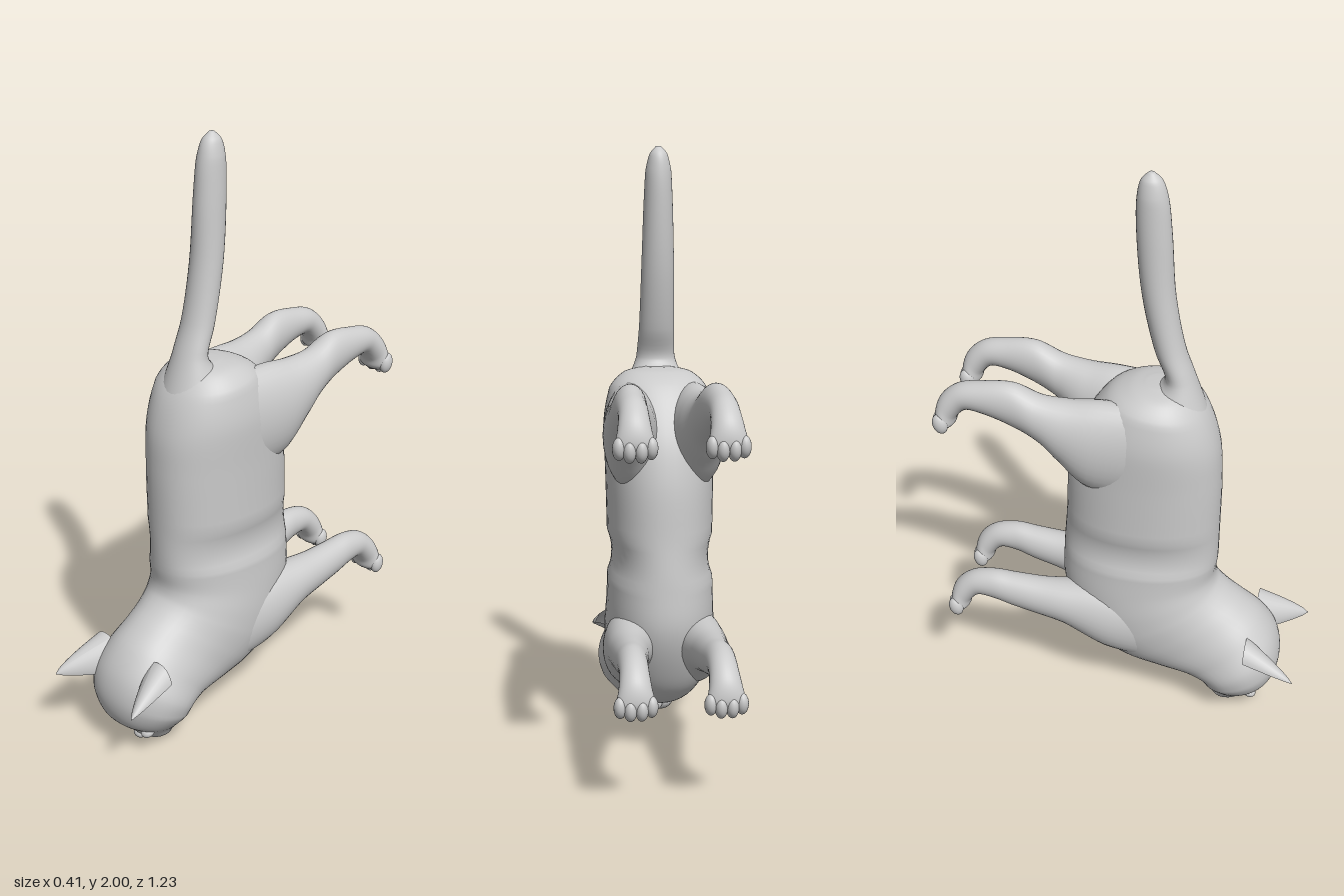
import * as THREE from 'three';

const grey = new THREE.MeshStandardMaterial({ color: 0xcccccc, side: THREE.DoubleSide });

function add(group, name, geometry) {
  const mesh = new THREE.Mesh(geometry, grey);
  mesh.name = name;
  group.add(mesh);
  return mesh;
}

// Smooth skin through cross-sections [y1, z1, y2, z2, x, halfWidth]:
// each is an oval spanning two opposite profile points in the y-z plane.
function loft(rows, steps = 6, power = 2, sides = 32) {
  const curve = (f) => new THREE.CatmullRomCurve3(rows.map(f));
  const upper = curve((r) => new THREE.Vector3(0, r[0], r[1]));
  const lower = curve((r) => new THREE.Vector3(0, r[2], r[3]));
  const width = curve((r) => new THREE.Vector3(r[4], r[5], 0));
  const n = (rows.length - 1) * steps;
  const pos = [], index = [];
  const mids = [];
  const soft = (v) => Math.sign(v) * Math.abs(v) ** (2 / power);
  // Keep the winding outward whichever way the path runs
  const [a, b] = [rows[0], rows[1]];
  const run = [(b[0] + b[2] - a[0] - a[2]), (b[1] + b[3] - a[1] - a[3])];
  const turn = -(a[1] - a[3]) * run[0] + (a[0] - a[2]) * run[1] > 0 ? 1 : -1;
  for (let i = 0; i <= n; i++) {
    const u = upper.getPoint(i / n), l = lower.getPoint(i / n), w = width.getPoint(i / n);
    const mid = u.clone().add(l).multiplyScalar(0.5);
    const half = u.clone().sub(mid);
    mids.push([w.x, mid.y, mid.z]);
    for (let j = 0; j < sides; j++) {
      const t = (j / sides) * Math.PI * 2, c = soft(Math.cos(t)) * turn, s = soft(Math.sin(t));
      pos.push(w.x + w.y * c, mid.y + half.y * s, mid.z + half.z * s);
    }
  }
  for (let i = 0; i < n; i++) {
    for (let j = 0; j < sides; j++) {
      const p = i * sides + j, q = i * sides + (j + 1) % sides;
      index.push(p, q, p + sides, q, q + sides, p + sides);
    }
  }
  // End caps
  const first = pos.length / 3, end = n * sides;
  pos.push(...mids[0], ...mids[n]);
  for (let j = 0; j < sides; j++) {
    const k = (j + 1) % sides;
    index.push(first, k, j, first + 1, end + j, end + k);
  }
  const g = new THREE.BufferGeometry();
  g.setAttribute('position', new THREE.Float32BufferAttribute(pos, 3));
  g.setIndex(index);
  g.computeVertexNormals();
  return g;
}

function ball(group, name, x, y, z, rx, ry, rz, tilt = 0) {
  const m = add(group, name, new THREE.SphereGeometry(1, 20, 14));
  m.position.set(x, y, z);
  m.scale.set(rx, ry, rz);
  m.rotation.x = tilt;
}

// Pointed ear: a cone whose front half is pressed in to form a hollow
function ear(side) {
  const g = new THREE.ConeGeometry(1, 1, 28, 10, true);
  const p = g.attributes.position;
  const base = new THREE.Vector3(0.125, 0.275, 0.44), tip = new THREE.Vector3(0.187, 0.255, 0.615);
  const across = new THREE.Vector3(0.066, 0.035, 0), back = new THREE.Vector3(-0.02, 0.08, 0);
  for (let i = 0; i < p.count; i++) {
    const t = p.getY(i) + 0.5;
    const swell = (1 - t) > 0 ? (1 - t) ** -0.25 : 0;
    const u = p.getX(i) * swell, z = p.getZ(i) * swell;
    const v = z < 0 ? -z * 0.15 : z;
    const c = base.clone().lerp(tip, t).addScaledVector(across, -side * u * side).addScaledVector(back, v);
    if (side < 0) c.x *= -1;
    p.setXYZ(i, c.x, c.y, c.z);
  }
  if (side < 0) {
    const f = g.index.array;
    for (let i = 0; i < f.length; i += 3) [f[i], f[i + 1]] = [f[i + 1], f[i]];
  }
  g.computeVertexNormals();
  return g;
}

// Rump to muzzle: back point, belly point, centre x, half width
const bodyRows = [
  [1.285, 0.14, 1.285, 0.06, 0, 0.04],
  [1.265, 0.2, 1.275, 0, 0, 0.11],
  [1.2, 0.255, 1.24, -0.07, 0, 0.16],
  [1.08, 0.298, 1.1, -0.16, 0, 0.182],
  [0.95, 0.31, 0.95, -0.2, 0, 0.178],
  [0.75, 0.31, 0.75, -0.213, 0, 0.174],
  [0.6, 0.308, 0.6, -0.225, 0, 0.174],
  [0.54, 0.303, 0.46, -0.225, 0, 0.178],
  [0.51, 0.31, 0.32, -0.175, 0, 0.182],
  [0.49, 0.325, 0.22, -0.11, 0, 0.18],
  [0.465, 0.355, 0.16, -0.02, 0, 0.172],
  [0.43, 0.405, 0.135, 0.08, 0, 0.166],
  [0.375, 0.47, 0.125, 0.2, 0, 0.172],
  [0.29, 0.525, 0.118, 0.26, 0, 0.184],
  [0.2, 0.542, 0.1, 0.275, 0, 0.172],
  [0.12, 0.522, 0.075, 0.29, 0, 0.134],
  [0.07, 0.468, 0.045, 0.3, 0, 0.098],
  [0.025, 0.425, 0.018, 0.315, 0, 0.072],
  [0.006, 0.4, 0.004, 0.345, 0, 0.035],
];

const tailRows = [
  [1.15, 0.27, 1.24, 0.03, 0, 0.12],
  [1.24, 0.24, 1.275, 0.09, 0, 0.085],
  [1.32, 0.212, 1.31, 0.117, 0, 0.064],
  [1.42, 0.178, 1.41, 0.082, 0, 0.058],
  [1.6, 0.145, 1.6, 0.04, 0, 0.054],
  [1.8, 0.131, 1.8, 0.022, 0, 0.048],
  [1.92, 0.118, 1.92, 0.022, 0, 0.042],
  [1.975, 0.1, 1.975, 0.034, 0, 0.029],
  [2.0, 0.075, 2.0, 0.057, 0, 0.008],
];

// Upper legs, hip or shoulder outward
const hindRows = [
  [1.24, 0.12, 0.9, 0.08, 0.1, 0.07],
  [1.248, -0.06, 0.92, -0.11, 0.106, 0.09],
  [1.242, -0.17, 1.015, -0.2, 0.117, 0.08],
  [1.252, -0.26, 1.08, -0.255, 0.127, 0.064],
  [1.288, -0.35, 1.125, -0.33, 0.131, 0.054],
];
const frontRows = [
  [0.48, 0.1, 0.2, 0.1, 0.1, 0.07],
  [0.5, -0.05, 0.24, -0.05, 0.11, 0.088],
  [0.493, -0.18, 0.325, -0.2, 0.12, 0.076],
  [0.49, -0.28, 0.347, -0.28, 0.128, 0.062],
  [0.495, -0.38, 0.37, -0.38, 0.132, 0.053],
];
// Lower leg and bent paw, shared by all four legs
const pawRows = [
  [0.5, -0.455, 0.389, -0.445, 0.135, 0.047],
  [0.48, -0.535, 0.395, -0.502, 0.135, 0.045],
  [0.43, -0.59, 0.36, -0.538, 0.136, 0.051],
  [0.37, -0.608, 0.335, -0.546, 0.136, 0.06],
  [0.33, -0.6, 0.323, -0.56, 0.136, 0.045],
];

export function createModel() {
  const cat = new THREE.Group();
  cat.name = 'cat';
  add(cat, 'bodyAndHead', loft(bodyRows, 6, 2.15, 48));
  add(cat, 'tail', loft(tailRows));

  for (const side of [1, -1]) {
    const label = side > 0 ? 'left' : 'right';
    for (const [name, rows, lift] of [['FrontLeg', frontRows, 0], ['HindLeg', hindRows, 0.78]]) {
      const leg = new THREE.Group();
      leg.name = label + name;
      const paw = pawRows.map((r) => [r[0] + lift, r[1], r[2] + lift, r[3], r[4], r[5]]);
      const all = [...rows, ...paw].map((r) => [r[0], r[1], r[2], r[3], r[4] * side, r[5]]);
      add(leg, 'limb', loft(all));
      // Four toes, the middle pair reaching further
      [-0.047, -0.017, 0.017, 0.047].forEach((dx, i) => {
        const reach = i === 1 || i === 2 ? 0.008 : 0;
        ball(leg, 'toe', side * 0.136 + dx, 0.35 + lift - reach, -0.582 - reach, 0.02, 0.035, 0.025, -0.25);
      });
      cat.add(leg);
    }
    add(cat, label + 'Ear', ear(side));
    ball(cat, label + 'Eye', side * 0.085, 0.088, 0.455, 0.024, 0.018, 0.026, 0.5);
    ball(cat, label + 'Cheek', side * 0.036, 0.044, 0.36, 0.046, 0.038, 0.05);
  }
  // Face details
  ball(cat, 'nose', 0, 0.022, 0.415, 0.025, 0.016, 0.02, 0.6);
  ball(cat, 'chin', 0, 0.042, 0.315, 0.04, 0.032, 0.03);
  return cat;
}
